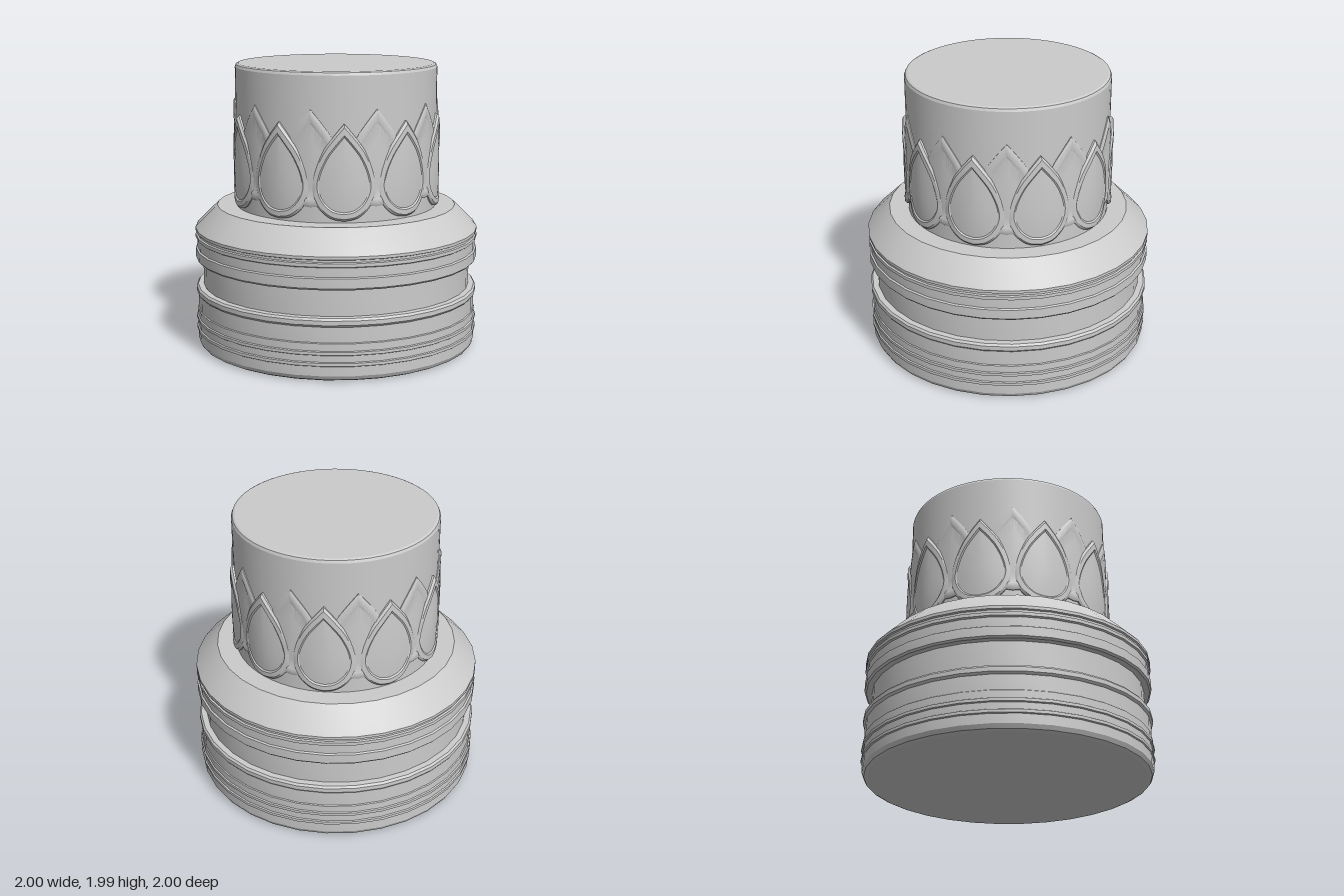
import * as THREE from 'three';
import { toCreasedNormals } from 'three/addons/utils/BufferGeometryUtils.js';

const COLUMN_R = 0.703;
const material = new THREE.MeshStandardMaterial({ color: 0xcccccc });

const vec = ([x, y]) => new THREE.Vector2(x, y);

function part(name, geometry, crease = 0.4) {
  const mesh = new THREE.Mesh(toCreasedNormals(geometry, crease), material);
  mesh.name = name;
  return mesh;
}

// Closed teardrop outline, counterclockwise from the bottom, sharp at the tip.
function petalOutline() {
  const half = new THREE.SplineCurve([
    [0, 1.01], [0.09, 1.03], [0.17, 1.1], [0.215, 1.21],
    [0.2, 1.33], [0.14, 1.47], [0.07, 1.57], [0, 1.655],
  ].map(vec)).getPoints(28);
  const mirrored = half.slice(1, -1).reverse().map((p) => new THREE.Vector2(-p.x, p.y));
  return [...half, ...mirrored];
}

// Petal wrapped on the column: concentric outline rings [scale, height above column].
function petalGeometry(angle, lift, relief) {
  const outline = petalOutline();
  const n = outline.length;
  const midY = 1.27;
  const rings = [[1, -0.012], [1, 0.012], [0.94, 0.027], [0.81, 0.028], [0.77, 0.019],
    [0.5, 0.024], [0.25, 0.026], [0, 0.027]];
  const positions = [];
  const index = [];
  rings.forEach(([s, h], k) => {
    outline.forEach((p, i) => {
      const u = p.x * s;
      const taper = h > 0 ? relief * (1 - 0.6 * (u / 0.22) ** 2) : 1;
      const r = COLUMN_R + h * taper;
      const a = angle + u / COLUMN_R;
      positions.push(r * Math.sin(a), midY + (p.y - midY) * s + lift, r * Math.cos(a));
      if (k === rings.length - 1) return;
      const j = (i + 1) % n;
      const o = k * n;
      index.push(o + i, o + j, o + n + i);
      if (k < rings.length - 2) index.push(o + j, o + n + j, o + n + i);
    });
  });
  const geometry = new THREE.BufferGeometry();
  geometry.setAttribute('position', new THREE.Float32BufferAttribute(positions, 3));
  geometry.setIndex(index);
  return geometry;
}

function petalRow(name, offset, lift, relief) {
  const row = new THREE.Group();
  row.name = name;
  for (let i = 0; i < 10; i++) {
    row.add(part('petal', petalGeometry((i + offset) * Math.PI / 5, lift, relief), 0.45));
  }
  return row;
}

export function createModel() {
  const model = new THREE.Group();
  model.name = 'ornamentedCap';

  // Wide base with beads, a deep groove and a sloped shoulder
  const base = [
    [0, 0], [0.95, 0], [0.975, 0.012], [0.99, 0.04], [0.99, 0.105],
    [0.999, 0.11], [0.999, 0.13], [0.99, 0.135], [0.99, 0.18],
    [0.999, 0.185], [0.999, 0.205], [0.99, 0.21], [0.99, 0.26],
    [0.983, 0.265], [0.983, 0.37], [0.99, 0.375], [0.997, 0.385], [0.997, 0.415], [0.985, 0.43],
    [0.945, 0.432], [0.945, 0.615], [0.985, 0.617], [0.997, 0.63], [0.997, 0.695],
    [0.985, 0.702], [0.985, 0.765], [0.997, 0.772], [0.997, 0.795],
    [0.985, 0.8], [0.985, 0.815], [0.997, 0.82], [0.997, 0.84],
    [0.99, 0.85], [0.84, 0.997], [0, 0.997],
  ].map(vec);
  model.add(part('base', new THREE.LatheGeometry(base, 32)));

  // Narrow column with a softened top edge
  const column = [
    [0, 0.98], [COLUMN_R, 0.98], [COLUMN_R, 1.965], [0.695, 1.983], [0.68, 1.99], [0, 1.99],
  ].map(vec);
  model.add(part('column', new THREE.LatheGeometry(column, 64)));

  // Two staggered rows of raised petals
  model.add(petalRow('frontPetals', 0, 0, 1));
  model.add(petalRow('rearPetals', 0.5, 0.09, 0.5));

  return model;
}
